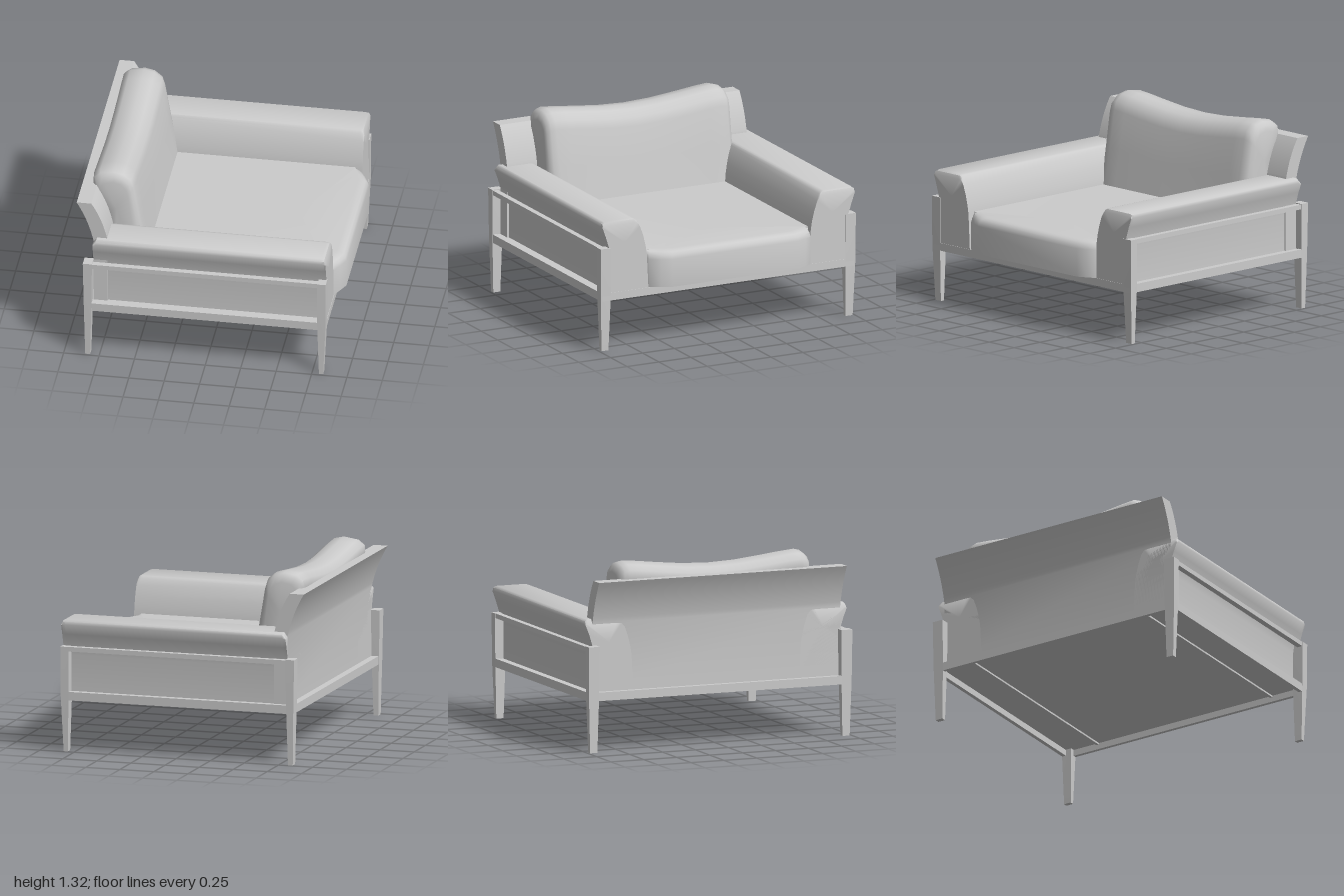
import * as THREE from 'three';
import { toCreasedNormals } from 'three/addons/utils/BufferGeometryUtils.js';

const grey = new THREE.MeshStandardMaterial({ color: 0xcccccc });

// Skin equal-length rings of [x, y, z] into a closed solid with fan caps.
function loft(rings, crease = 0.6) {
  const n = rings[0].length;
  const pts = rings.flat();
  const faces = [];
  for (let r = 0; r < rings.length - 1; r++) {
    for (let i = 0; i < n; i++) {
      const a = r * n + i, b = r * n + (i + 1) % n;
      faces.push([a, b, b + n], [a, b + n, a + n]);
    }
  }
  [0, rings.length - 1].forEach((r, end) => {
    const c = [0, 1, 2].map((k) => rings[r].reduce((s, p) => s + p[k], 0) / n);
    pts.push(c);
    const m = pts.length - 1;
    for (let i = 0; i < n; i++) {
      const a = r * n + i, b = r * n + (i + 1) % n;
      faces.push(end ? [m, a, b] : [m, b, a]);
    }
  });
  // turn all faces outward
  const v = pts.map((p) => new THREE.Vector3(...p));
  const volume = faces.reduce((s, [a, b, c]) => s + v[a].dot(v[b].clone().cross(v[c])), 0);
  if (volume < 0) faces.forEach((f) => f.reverse());
  const geo = new THREE.BufferGeometry();
  geo.setAttribute('position', new THREE.Float32BufferAttribute(pts.flat(), 3));
  geo.setIndex(faces.flat());
  return toCreasedNormals(geo, crease);
}

export function createModel() {
  const model = new THREE.Group();
  model.name = 'armchair';

  const add = (name, geo) => {
    const mesh = new THREE.Mesh(geo, grey);
    mesh.name = name;
    model.add(mesh);
    return mesh;
  };
  // Box given by its min and max on each axis
  const box = (name, x0, x1, y0, y1, z0, z1) => {
    const mesh = add(name, new THREE.BoxGeometry(x1 - x0, y1 - y0, z1 - z0));
    mesh.position.set((x0 + x1) / 2, (y0 + y1) / 2, (z0 + z1) / 2);
  };
  const rect = (y, x0, x1, z0, z1) => [[x0, y, z0], [x1, y, z0], [x1, y, z1], [x0, y, z1]];

  // Armrest cross-section as [z, y]
  const armProfile = [
    [0.928, 0.42], [0.928, 0.68], [0.94, 0.75], [0.965, 0.83], [0.99, 0.9], [0.986, 0.922], [0.97, 0.935],
    [0.755, 0.935], [0.735, 0.93], [0.718, 0.915], [0.695, 0.87], [0.67, 0.8], [0.653, 0.73], [0.643, 0.67], [0.63, 0.42],
  ];
  const armShift = -0.006;

  for (const s of [1, -1]) {
    const side = s > 0 ? 'Near' : 'Far';
    // Tapered legs
    add('frontLeg' + side, loft([
      rect(0, 0.8, 0.83, s * 0.93, s * 0.985),
      rect(0.4, 0.79, 0.848, s * 0.92, s * 0.997),
      rect(0.745, 0.79, 0.85, s * 0.918, s),
    ]));
    add('rearLeg' + side, loft([
      rect(0, -0.85, -0.815, s * 0.93, s * 0.985),
      rect(0.4, -0.858, -0.805, s * 0.92, s * 0.997),
      rect(0.75, -0.865, -0.8, s * 0.918, s),
    ]));
    // Side rails
    const rail = (name, y0, y1, inner, outer) => {
      const [z0, z1] = s > 0 ? [inner, outer] : [-outer, -inner];
      box(name + side, -0.81, 0.8, y0, y1, z0, z1);
    };
    rail('upperRail', 0.712, 0.745, 0.955, 0.996);
    rail('lowerRail', 0.365, 0.425, 0.965, 0.994);
    // Armrest with softened top edges at both ends
    const section = (x, top) => armProfile.map(([z, y]) => [x, Math.min(y, top - (0.935 - y) * 0.2), s * z + armShift]);
    add('armrest' + side, loft([
      section(-0.8, 0.9), section(-0.775, 0.935), section(0.815, 0.935), section(0.835, 0.928), section(0.845, 0.905),
    ], 0.75));
    // Thin batten under the base
    box('batten' + side, -0.82, 0.82, 0.397, 0.412, s * 0.72 - 0.01, s * 0.72 + 0.01);
  }

  // Thin cross rails around a recessed base board
  box('frontRail', 0.823, 0.848, 0.365, 0.42, -0.985, 0.985);
  box('rearRail', -0.855, -0.83, 0.365, 0.425, -0.985, 0.985);
  box('baseBoard', -0.84, 0.835, 0.41, 0.422, -0.98, 0.98);

  // Backrest panel flaring backwards at the top
  const back = new THREE.Shape();
  back.moveTo(-0.7, 0.42);
  back.lineTo(-0.7, 0.92);
  back.quadraticCurveTo(-0.735, 1.09, -0.815, 1.21);
  back.lineTo(-0.918, 1.21);
  back.quadraticCurveTo(-0.835, 1.07, -0.8, 0.91);
  back.lineTo(-0.8, 0.42);
  const backGeo = new THREE.ExtrudeGeometry(back, { depth: 1.88, bevelEnabled: false, curveSegments: 10 });
  backGeo.translate(0, 0, -0.945);
  add('backPanel', toCreasedNormals(backGeo, 0.5));

  // Seat cushion with clipped front corners and a rounded upper edge
  const seatRing = (y, d) => [
    [-0.7, y, -0.652], [0.8, y, -0.652], [0.848 - d, y, -0.645 + d / 2], [0.88 - d, y, -0.59 + d / 2],
    [0.912 - d, y, -0.52 + d / 2], [0.912 - d, y, 0.47 - d / 2], [0.88 - d, y, 0.54 - d / 2],
    [0.84 - d, y, 0.615 - d / 2], [0.79, y, 0.637], [-0.7, y, 0.637],
  ];
  add('seatCushion', loft([
    seatRing(0.42, 0), seatRing(0.62, 0), seatRing(0.648, 0.008), seatRing(0.667, 0.024),
    seatRing(0.676, 0.045), seatRing(0.68, 0.07),
  ], 0.9));

  // Back cushion: side profile swept across the width, top dipping in the middle
  const cushionProfile = [
    [-0.46, 0.67], [-0.51, 0.94], [-0.555, 1.2], [-0.575, 1.26], [-0.63, 1.305], [-0.7, 1.32], [-0.8, 1.305],
    [-0.845, 1.27], [-0.85, 1.21], [-0.79, 1.02], [-0.72, 0.86], [-0.68, 0.67],
  ];
  // [z, depth scale, height scale] from the middle outward
  const half = [
    [0, 1, 1], [0.2, 1, 1], [0.4, 1, 1], [0.55, 1, 1], [0.65, 1, 1],
    [0.69, 0.96, 0.985], [0.715, 0.86, 0.95], [0.727, 0.68, 0.89],
  ];
  const stations = [...half.slice(1).reverse().map(([z, a, b]) => [-z, a, b]), ...half];
  add('backCushion', loft(stations.map(([z, sx, sy]) => {
    const dip = 0.055 * Math.cos(Math.min(Math.abs(z) / 0.65, 1) * Math.PI / 2) ** 1.3;
    return cushionProfile.map(([x, y]) => {
      const t = Math.min((y - 0.67) / 0.53, 1);
      return [-0.68 + (x + 0.68) * sx, 0.67 + (y - 0.67) * sy - dip * t, z - 0.027];
    });
  }), 0.9));

  return model;
}
